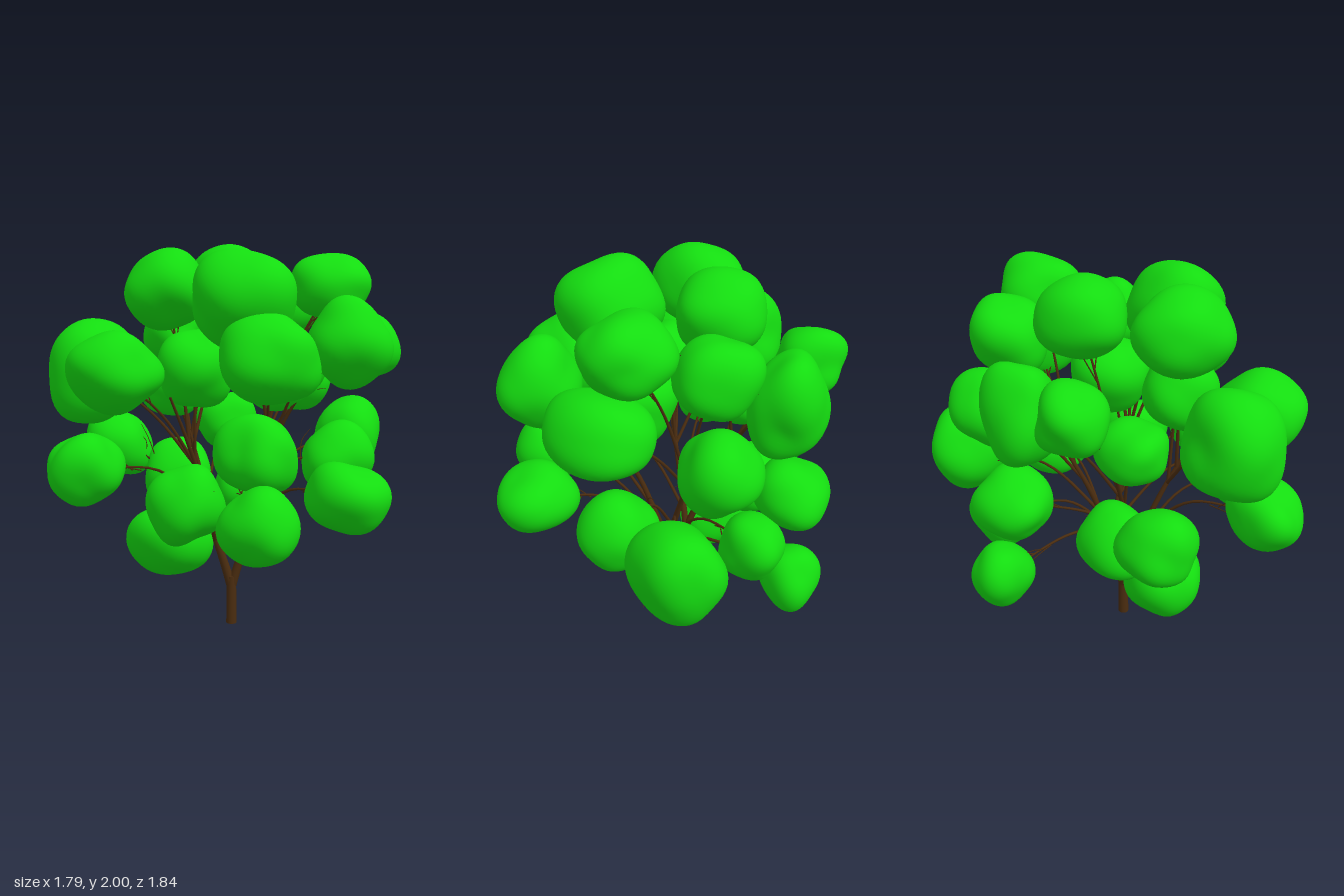
import * as THREE from 'three';
import { mergeVertices } from 'three/addons/utils/BufferGeometryUtils.js';

const V = (x, y, z) => new THREE.Vector3(x, y, z);
const bark = new THREE.MeshStandardMaterial({ color: 0x4a2c0f });
const leaf = new THREE.MeshStandardMaterial({ color: 0x14dd10 });

// Leaf clumps: centre x, y, z and half sizes x, y, z
const upperClumps = [
  [-0.31, 1.76, 0.02, 0.2, 0.2, 0.24],
  [0.06, 1.70, 0.30, 0.24, 0.24, 0.24],
  [0.01, 1.81, -0.31, 0.22, 0.19, 0.2],
  [0.53, 1.78, -0.18, 0.21, 0.17, 0.21],
  [0.33, 1.68, -0.49, 0.2, 0.18, 0.19],
  [0.55, 1.51, 0.31, 0.2, 0.22, 0.18],
  [0.69, 1.46, -0.13, 0.2, 0.19, 0.26],
  [0.17, 1.45, 0.45, 0.23, 0.21, 0.23],
  [-0.54, 1.37, 0.30, 0.23, 0.2, 0.21],
  [-0.67, 1.36, 0.0, 0.23, 0.26, 0.22],
  [-0.31, 1.54, -0.59, 0.16, 0.16, 0.16],
  [-0.17, 1.38, 0.13, 0.18, 0.19, 0.18],
];
const middleClumps = [
  [0.42, 1.29, -0.57, 0.19, 0.2, 0.2],
  [-0.01, 1.45, -0.65, 0.19, 0.25, 0.17],
  [0.26, 1.36, 0.03, 0.23, 0.2, 0.22],
  [-0.30, 1.25, -0.26, 0.17, 0.15, 0.16],
  [0.0, 1.01, -0.72, 0.19, 0.17, 0.18],
  [0.70, 0.93, -0.55, 0.19, 0.24, 0.23],
  [0.58, 0.90, -0.13, 0.19, 0.19, 0.19],
  [0.10, 1.03, 0.53, 0.19, 0.18, 0.19],
];
const lowerClumps = [
  [0.10, 0.75, 0.74, 0.18, 0.18, 0.18],
  [-0.21, 0.80, 0.54, 0.18, 0.19, 0.2],
  [0.54, 0.80, 0.43, 0.2, 0.17, 0.2],
  [-0.70, 0.90, 0.22, 0.19, 0.18, 0.16],
  [-0.59, 0.94, -0.36, 0.18, 0.18, 0.18],
  [-0.27, 0.79, -0.34, 0.18, 0.18, 0.18],
  [0.23, 0.80, -0.65, 0.14, 0.17, 0.16],
  [-0.31, 0.46, -0.10, 0.23, 0.2, 0.19],
  [0.08, 0.57, -0.77, 0.14, 0.17, 0.15],
];

// Seeded random numbers
let seed = 7;
const rnd = () => (seed = (seed * 16807) % 2147483647) / 2147483647;

// Lumpy ball fitted exactly to its half sizes
function clump([x, y, z, rx, ry, rz], index) {
  let geo = new THREE.IcosahedronGeometry(1, 9);
  geo.deleteAttribute('uv');
  geo.deleteAttribute('normal');
  geo = mergeVertices(geo, 1e-4);
  const waves = Array.from({ length: 5 }, () => ({
    dir: V(rnd() - 0.5, rnd() - 0.5, rnd() - 0.5).normalize().multiplyScalar(2.6 + rnd() * 2.6),
    phase: rnd() * 6.28,
  }));
  const turn = new THREE.Euler(rnd() * 3, rnd() * 3, rnd() * 3);
  const pos = geo.attributes.position;
  const p = V(0, 0, 0);
  for (let i = 0; i < pos.count; i++) {
    p.fromBufferAttribute(pos, i).normalize();
    let r = (Math.abs(p.x) ** 2.4 + Math.abs(p.y) ** 2.4 + Math.abs(p.z) ** 2.4) ** (-1 / 2.4);
    for (const w of waves) r += 0.032 * Math.sin(p.dot(w.dir) + w.phase);
    p.multiplyScalar(r).applyEuler(turn);
    pos.setXYZ(i, p.x, p.y, p.z);
  }
  geo.center();
  const half = geo.boundingBox.getSize(V(0, 0, 0)).multiplyScalar(0.5);
  geo.scale(rx / half.x, ry / half.y, rz / half.z);
  geo.computeVertexNormals();
  const mesh = new THREE.Mesh(geo, leaf);
  mesh.position.set(x, y, z);
  mesh.name = 'leafClump' + index;
  return mesh;
}

// Tube along a smooth path, thinning from r0 to r1
function taperedTube(points, r0, r1, name, steps = 14, sides = 8) {
  const curve = new THREE.CatmullRomCurve3(points);
  const geo = new THREE.TubeGeometry(curve, steps, 1, sides);
  const pos = geo.attributes.position;
  const p = V(0, 0, 0);
  for (let i = 0; i < pos.count; i++) {
    const t = Math.floor(i / (sides + 1)) / steps;
    const c = curve.getPointAt(t);
    p.fromBufferAttribute(pos, i).sub(c).multiplyScalar(r0 + (r1 - r0) * t).add(c);
    pos.setXYZ(i, p.x, p.y, p.z);
  }
  const mesh = new THREE.Mesh(geo, bark);
  mesh.name = name;
  return mesh;
}

export function createModel() {
  const tree = new THREE.Group();
  tree.name = 'tree';

  // Trunk
  const trunk = new THREE.Mesh(new THREE.CylinderGeometry(0.025, 0.028, 0.26, 16), bark);
  trunk.position.set(0.015, 0.13, -0.078);
  trunk.name = 'trunk';
  tree.add(trunk);

  // Two limbs, each splitting into a front and a back bough
  const boughs = [];
  const limbs = new THREE.Group();
  limbs.name = 'limbs';
  for (const s of [-1, 1]) {
    const fork = V(0.015 + s * 0.08, 0.46, -0.08);
    limbs.add(taperedTube([V(0.015, 0.2, -0.08), V(0.015 + s * 0.035, 0.32, -0.08), fork],
      0.025, 0.019, s < 0 ? 'rightLimb' : 'leftLimb', 10, 12));
    for (const f of [-1, 1]) {
      const pts = [fork, V(0.01 + s * 0.12, 0.65, -0.08 + f * 0.06), V(s * 0.16, 0.85, -0.08 + f * 0.13),
        V(s * 0.22, 1.05, -0.08 + f * 0.21), V(s * 0.29, 1.25, -0.08 + f * 0.29)];
      limbs.add(taperedTube(pts, 0.018, 0.006, f > 0 ? 'frontBough' : 'backBough', 16, 10));
      boughs.push({ s, f, curve: new THREE.CatmullRomCurve3(pts) });
    }
  }
  tree.add(limbs);

  // Leaf clumps, each with an arching branch and a few twigs
  const crown = new THREE.Group();
  crown.name = 'crown';
  const branches = new THREE.Group();
  branches.name = 'branches';
  [...upperClumps, ...middleClumps, ...lowerClumps].forEach((c, i) => {
    crown.add(clump(c, i + 1));
    const end = V(c[0], c[1], c[2]);
    const bough = boughs.find((b) => b.s === (c[0] < 0.05 ? -1 : 1) && b.f === (c[2] < -0.08 ? -1 : 1));
    const t = THREE.MathUtils.clamp((c[1] - 0.65) * 0.75, 0.1, 0.65);
    const start = bough.curve.getPointAt(t);
    const rise = end.y - start.y;
    const mid = start.clone().lerp(end, 0.42);
    mid.y = start.y + (rise > 0.3 ? rise * 0.54 : Math.max(rise * 0.7, 0) + 0.05);
    branches.add(taperedTube([start, mid, end], 0.0095, 0.004, 'branch'));
    // Twigs fan out from the branch into the clump
    for (let k = 0; k < 3; k++) {
      const root = mid.clone().lerp(end, 0.25 + 0.12 * k);
      const tip = end.clone().add(V((rnd() - 0.5) * c[3], (rnd() - 0.5) * c[4], (rnd() - 0.5) * c[5]).multiplyScalar(1.5));
      const bend = root.clone().lerp(tip, 0.5).add(V((rnd() - 0.5) * 0.06, 0.02, (rnd() - 0.5) * 0.06));
      branches.add(taperedTube([root, bend, tip], 0.0035, 0.0012, 'twig', 6, 5));
    }
  });
  tree.add(branches, crown);
  return tree;
}
